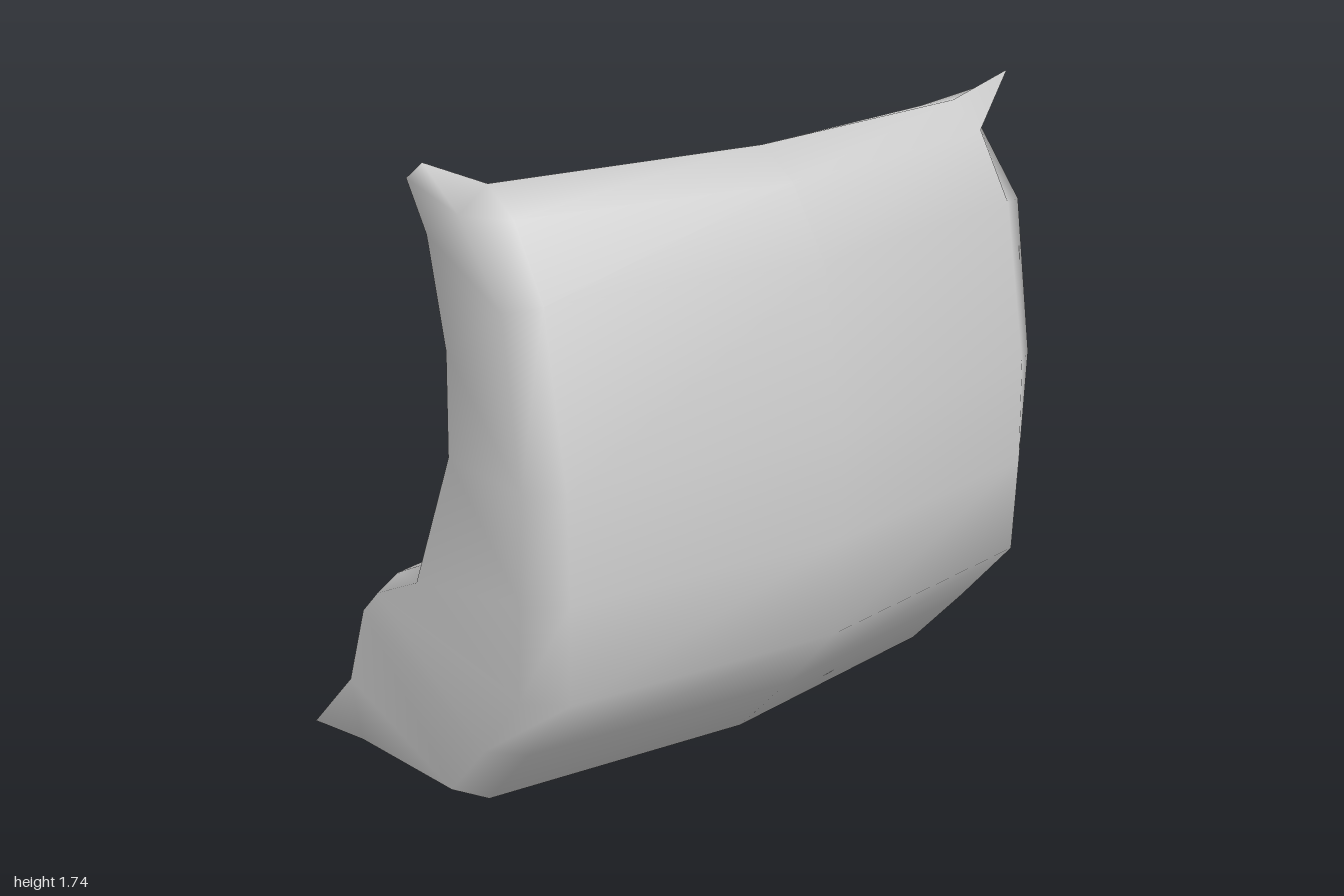
import * as THREE from 'three';

// Cross-sections as [depth, height]; front runs up from the seat edge, back runs up from the underside
const SECTIONS = {
  middle: {
    front: [[-0.57, 0.075], [-0.53, 0.25], [-0.42, 0.5], [-0.29, 0.6], [-0.07, 0.71], [0.1, 1.0], [0.115, 1.25], [0.03, 1.51], [0.16, 1.62]],
    back: [[-0.42, 0.02], [0.27, 0.03], [0.46, 0.235], [0.64, 0.45], [0.655, 0.72], [0.645, 1.0], [0.55, 1.42], [0.42, 1.6], [0.3, 1.675]],
  },
  side: {
    front: [[-0.445, 0.075], [-0.41, 0.22], [-0.33, 0.44], [-0.24, 0.53], [-0.03, 0.64], [0.12, 1.0], [0.12, 1.27], [0.01, 1.54], [0.09, 1.64]],
    back: [[-0.34, 0.018], [0.17, 0.03], [0.36, 0.24], [0.54, 0.45], [0.55, 0.72], [0.535, 1.0], [0.44, 1.43], [0.32, 1.61], [0.21, 1.675]],
  },
  end: {
    front: [[-0.43, 0.025], [-0.37, 0.19], [-0.28, 0.43], [-0.2, 0.51], [0.0, 0.61], [0.165, 1.0], [0.16, 1.27], [0.08, 1.54], [0.13, 1.69]],
    back: [[-0.32, 0.025], [0.13, 0.07], [0.29, 0.25], [0.45, 0.45], [0.465, 0.72], [0.476, 1.0], [0.395, 1.42], [0.22, 1.615], [0.2, 1.74]],
  },
};
const STATIONS = [['end', -0.858], ['side', -0.77], ['middle', 0], ['side', 0.77], ['end', 0.858]];

function cushionGeometry() {
  const rows = SECTIONS.middle.front.length;
  const ring = rows * 2;
  const positions = [];
  const index = [];

  for (const [name, x] of STATIONS) {
    const { front, back } = SECTIONS[name];
    const sign = Math.sign(x);
    [...front, ...[...back].reverse()].forEach(([z, y], k) => {
      // the upper half leans a little to one side
      const p = [x + 0.03 * Math.max(0, y - 0.8), y, z];
      // the four corners are pinched out into slightly twisted tips
      const lowerTip = name === 'end' && k === 0;
      const upperTip = name === 'end' && (k === rows - 1 || k === rows);
      if (lowerTip) {
        p[0] += sign * 0.065;
        p[1] -= sign * 0.02;
      }
      if (upperTip) p[0] += 0.015 + sign * 0.08;
      if (lowerTip || upperTip) p[2] += sign * 0.032;
      positions.push(...p);
    });
  }

  // padded skin between neighbouring sections
  for (let s = 0; s < STATIONS.length - 1; s++) {
    for (let k = 0; k < ring; k++) {
      const n = (k + 1) % ring;
      const a = s * ring + k, b = s * ring + n, c = a + ring, d = b + ring;
      index.push(a, b, c, b, d, c);
    }
  }

  // side panels, stitched from front edge to back edge
  const last = (STATIONS.length - 1) * ring;
  for (let i = 0; i < rows - 1; i++) {
    const f = i, g = i + 1, b = ring - 1 - i, c = ring - 2 - i;
    index.push(f, b, g, g, b, c);
    index.push(last + f, last + g, last + b, last + g, last + c, last + b);
  }

  const geometry = new THREE.BufferGeometry();
  geometry.setAttribute('position', new THREE.Float32BufferAttribute(positions, 3));
  geometry.setIndex(index);
  geometry.computeVertexNormals();
  return geometry;
}

export function createModel() {
  const group = new THREE.Group();
  group.name = 'beanbagChair';
  const material = new THREE.MeshStandardMaterial({ color: 0xcccccc, side: THREE.DoubleSide });
  const cushion = new THREE.Mesh(cushionGeometry(), material);
  cushion.name = 'foldedCushion';
  // the chair stands turned on the floor
  cushion.rotation.y = THREE.MathUtils.degToRad(35);
  cushion.position.set(0.022, 0, -0.017);
  group.add(cushion);
  return group;
}
